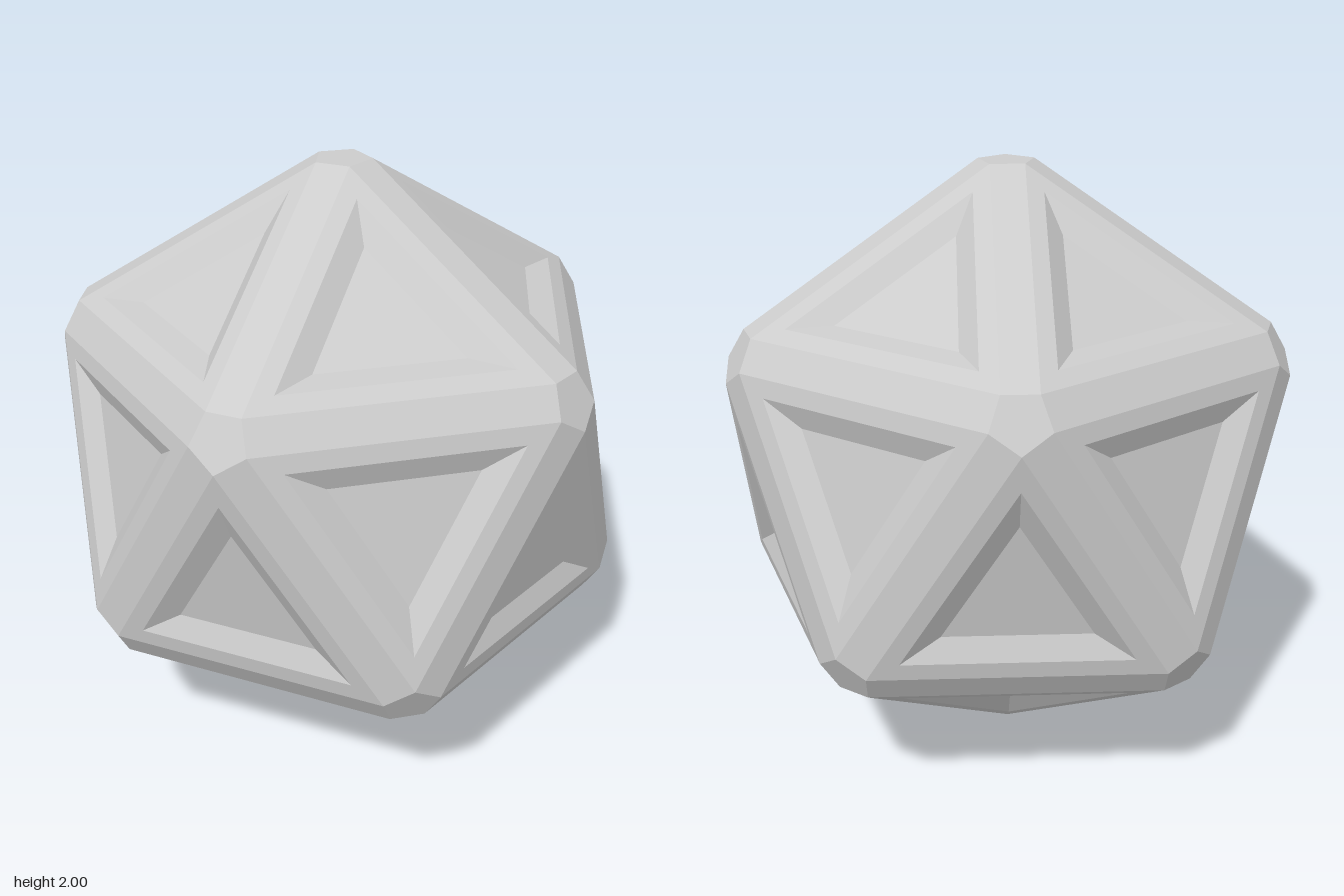
import * as THREE from 'three';

const R = 1.0726;       // radius of the sharp solid before its edges are bevelled
const FACE = 0.816;     // flat face triangle, relative to the sharp face
const LIP = 0.636;      // recess opening
const FLOOR = 0.411;    // recess floor
const DEPTH = 0.041;    // recess depth

// Collects convex polygons as outward-facing flat triangles
function createSurface(name) {
  const positions = [];
  return {
    add(...points) {
      const normal = new THREE.Vector3().crossVectors(
        points[1].clone().sub(points[0]), points[2].clone().sub(points[0]));
      if (normal.dot(points[0]) < 0) points.reverse();
      for (let i = 1; i < points.length - 1; i++) {
        for (const p of [points[0], points[i], points[i + 1]]) positions.push(p.x, p.y, p.z);
      }
    },
    mesh() {
      const geometry = new THREE.BufferGeometry();
      geometry.setAttribute('position', new THREE.Float32BufferAttribute(positions, 3));
      geometry.computeVertexNormals();
      const mesh = new THREE.Mesh(geometry,
        new THREE.MeshStandardMaterial({ color: 0xcccccc, flatShading: true }));
      mesh.name = name;
      return mesh;
    },
  };
}

// Two poles and two staggered rings of five
function icosahedronCorners() {
  const corners = [new THREE.Vector3(0, R, 0), new THREE.Vector3(0, -R, 0)];
  const ring = 2 * R / Math.sqrt(5);
  for (let k = 0; k < 5; k++) {
    const a = k * Math.PI * 2 / 5;
    const x = ring * Math.cos(a), z = ring * Math.sin(a);
    corners.push(new THREE.Vector3(x, ring / 2, z), new THREE.Vector3(-x, -ring / 2, -z));
  }
  return corners;
}

export function createModel() {
  const group = new THREE.Group();
  group.name = 'panelledIcosahedron';
  const corners = icosahedronCorners();
  const adjacent = (i, j) => corners[i].distanceTo(corners[j]) < R * 1.1;

  const rims = createSurface('faceRims');
  const walls = createSurface('recessWalls');
  const floors = createSurface('recessFloors');
  const bevels = createSurface('edgeBevels');
  const caps = createSurface('cornerCaps');
  const edges = new Map();

  // Recessed triangular faces
  for (let i = 0; i < 12; i++) for (let j = i + 1; j < 12; j++) for (let k = j + 1; k < 12; k++) {
    if (!adjacent(i, j) || !adjacent(j, k) || !adjacent(i, k)) continue;
    const ids = [i, j, k];
    const center = new THREE.Vector3();
    ids.forEach((id) => center.addScaledVector(corners[id], 1 / 3));
    const inward = center.clone().normalize().multiplyScalar(-1);
    const triangle = (scale, depth) => ids.map((id) =>
      center.clone().lerp(corners[id], scale).addScaledVector(inward, depth));
    const outer = triangle(FACE, 0), lip = triangle(LIP, 0), floor = triangle(FLOOR, DEPTH);
    floors.add(...floor);
    for (let a = 0; a < 3; a++) {
      const b = (a + 1) % 3;
      rims.add(outer[a], outer[b], lip[b], lip[a]);
      walls.add(lip[a], lip[b], floor[b], floor[a]);
      // Remember each face side so neighbouring faces can be joined
      const low = ids[a] < ids[b] ? a : b, high = low === a ? b : a;
      const key = `${ids[low]}-${ids[high]}`;
      if (!edges.has(key)) edges.set(key, { ends: [ids[low], ids[high]], sides: [] });
      edges.get(key).sides.push([outer[low], outer[high]]);
    }
  }

  // Bevel strips along the edges, and a fifth of the cap at each end
  for (const { ends, sides: [s, t] } of edges.values()) {
    bevels.add(s[0], s[1], t[1], t[0]);
    ends.forEach((id, e) => {
      const axis = corners[id].clone().normalize();
      caps.add(axis.clone().multiplyScalar(axis.dot(s[e])), s[e], t[e]);
    });
  }

  for (const surface of [rims, walls, floors, bevels, caps]) group.add(surface.mesh());
  group.children.forEach((mesh) => { mesh.position.y = 1; });
  return group;
}
